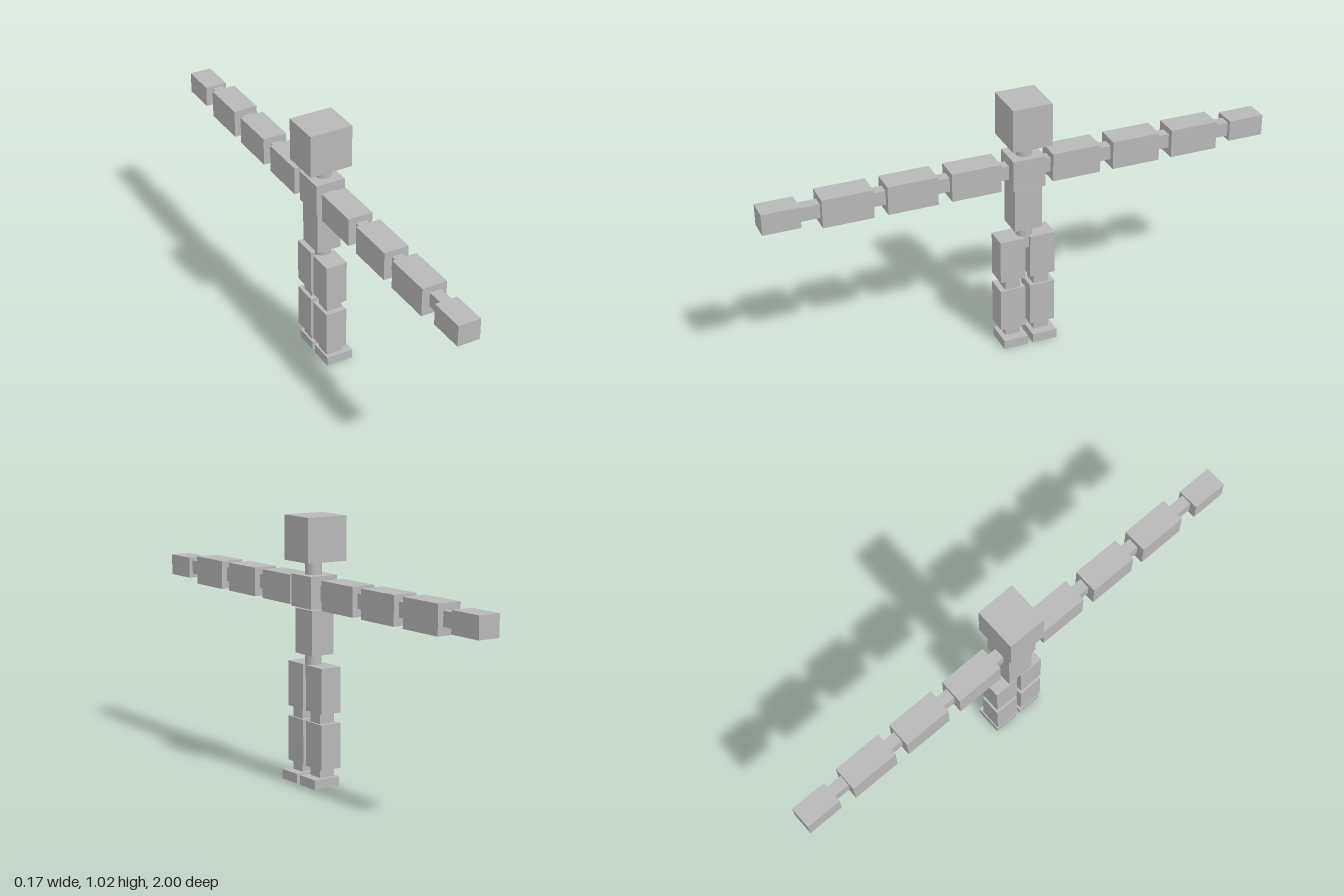
import * as THREE from 'three';

export function createModel() {
  const group = new THREE.Group();
  const grey = new THREE.MeshStandardMaterial({ color: 0xb8b8b8 });
  grey.name = 'plain grey';

  function add(name, geometry, x, y, z) {
    const mesh = new THREE.Mesh(geometry, grey);
    mesh.name = name;
    mesh.position.set(x, y, z);
    group.add(mesh);
  }
  // Box given by its lower and upper bounds on each axis
  function box(name, [x0, x1], [y0, y1], [z0, z1]) {
    add(name, new THREE.BoxGeometry(x1 - x0, y1 - y0, z1 - z0),
      (x0 + x1) / 2, (y0 + y1) / 2, (z0 + z1) / 2);
  }
  // Upright round joint
  function joint(name, y0, y1) {
    add(name, new THREE.CylinderGeometry(0.031, 0.031, y1 - y0, 32), 0.006, (y0 + y1) / 2, MID);
  }
  const MID = -0.007; // body centre line in z
  const centred = (half) => [MID - half, MID + half];

  // Head and trunk
  box('head', [-0.087, 0.085], [0.848, 1.017], [-0.088, 0.068]);
  joint('neck', 0.79, 0.855);
  box('chest', [-0.057, 0.062], [0.674, 0.796], centred(0.064));
  joint('spine', 0.66, 0.68);
  box('abdomen', [-0.048, 0.051], [0.496, 0.667], centred(0.055));
  joint('pelvis', 0.41, 0.5);

  for (const side of [1, -1]) {
    const label = side > 0 ? 'front' : 'back';
    // Distance from the centre line to a z range on this side
    const span = (a, b) => {
      const p = MID + side * a, q = MID + side * b;
      return [Math.min(p, q), Math.max(p, q)];
    };

    // Arm: three equal segments, a hand and thin links between them
    const starts = [0.104, 0.35, 0.595];
    starts.forEach((start, i) => {
      box(`${label}ArmSegment${i + 1}`, [-0.057, 0.041], [0.673, 0.785], span(start, start + 0.193));
      box(`${label}ArmLink${i + 1}`, [-0.026, 0.018], [0.704, 0.76], span(start - 0.06, start + 0.01));
    });
    box(`${label}WristLink`, [-0.026, 0.018], [0.704, 0.76], span(0.78, 0.87));
    box(`${label}Hand`, [-0.055, 0.033], [0.688, 0.771], side > 0 ? [0.857, 1] : [-1, -0.857]);

    // Leg
    box(`${label}Thigh`, [-0.041, 0.046], [0.283, 0.457], span(0.01, 0.111));
    box(`${label}Knee`, [-0.027, 0.038], [0.235, 0.29], span(0.028, 0.089));
    box(`${label}Shin`, [-0.041, 0.046], [0.07, 0.243], span(0.01, 0.111));
    box(`${label}Ankle`, [-0.027, 0.038], [0.03, 0.08], span(0.028, 0.089));
    box(`${label}Foot`, [-0.035, 0.075], [0, 0.037], span(0.01, 0.109));
  }
  return group;
}
